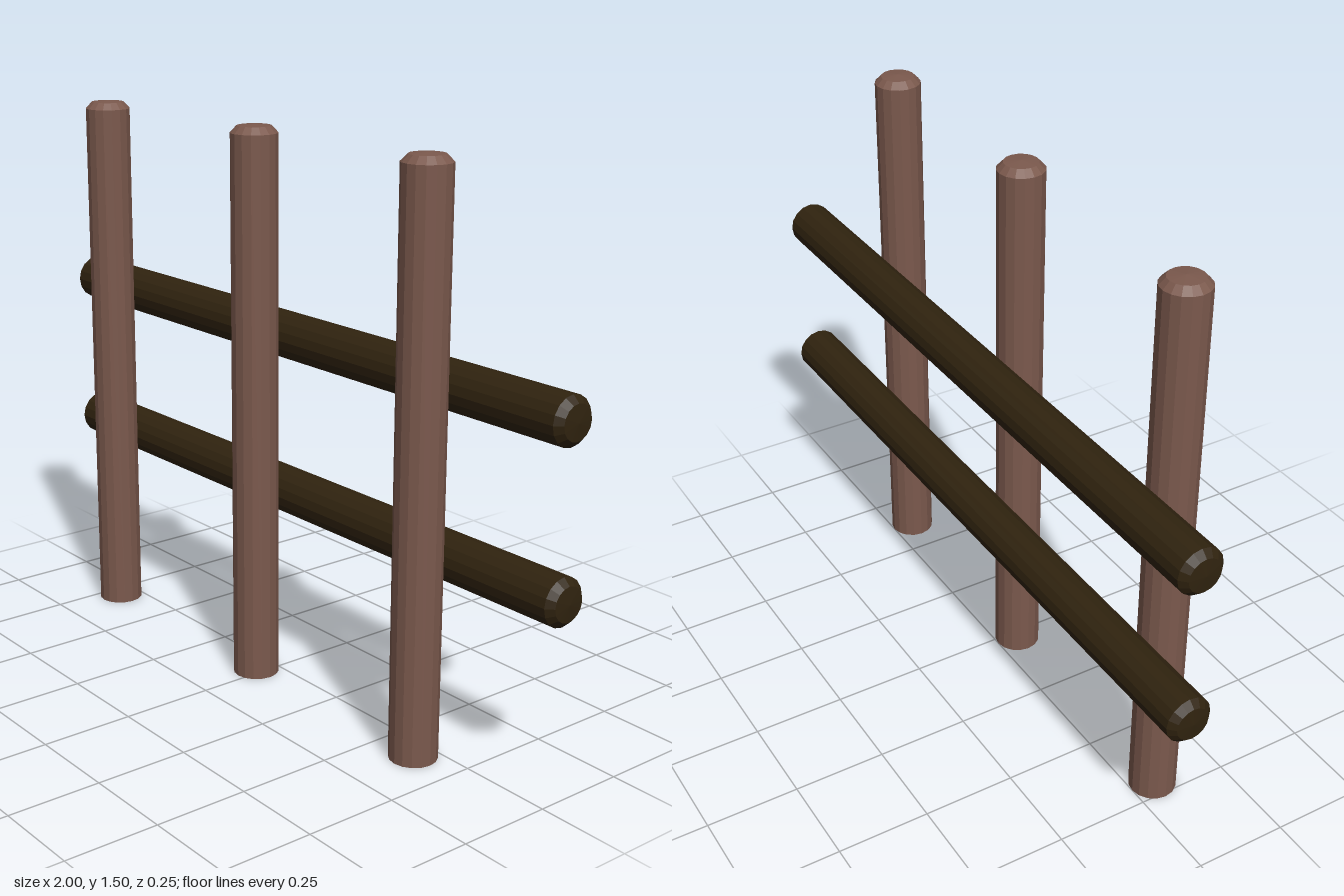
import * as THREE from 'three';

const RADIUS = 0.0625;
const SIDES = 16;

// Round log profile: straight sides with a bevelled, slightly domed end
function logGeometry(bottom, top, closedBottom) {
  const end = [[RADIUS, 0.022], [0.045, 0.004], [0, 0]];
  const points = [];
  if (closedBottom) {
    for (const [r, inset] of [...end].reverse()) points.push(new THREE.Vector2(r, bottom + inset));
  } else {
    points.push(new THREE.Vector2(RADIUS, bottom));
  }
  for (const [r, inset] of end) points.push(new THREE.Vector2(r, top - inset));
  return new THREE.LatheGeometry(points, SIDES);
}

export function createModel() {
  const model = new THREE.Group();
  model.name = 'fence';

  const postWood = new THREE.MeshStandardMaterial({ color: 0x7b594d, flatShading: true, side: THREE.DoubleSide });
  postWood.name = 'post wood';
  const railWood = new THREE.MeshStandardMaterial({ color: 0x30230f, flatShading: true });
  railWood.name = 'rail wood';

  // Upright posts, open underneath
  const postGeometry = logGeometry(0, 1.505, false);
  [-0.7, -0.02, 0.62].forEach((x, i) => {
    const post = new THREE.Mesh(postGeometry, postWood);
    post.name = `post${i + 1}`;
    post.position.set(x, 0, RADIUS);
    model.add(post);
  });

  // Horizontal rails behind the posts
  const railGeometry = logGeometry(-1, 1, true).rotateZ(-Math.PI / 2);
  [['lowerRail', 0.5], ['upperRail', 0.935]].forEach(([name, y]) => {
    const rail = new THREE.Mesh(railGeometry, railWood);
    rail.name = name;
    rail.position.set(0, y, -0.06);
    model.add(rail);
  });

  return model;
}
